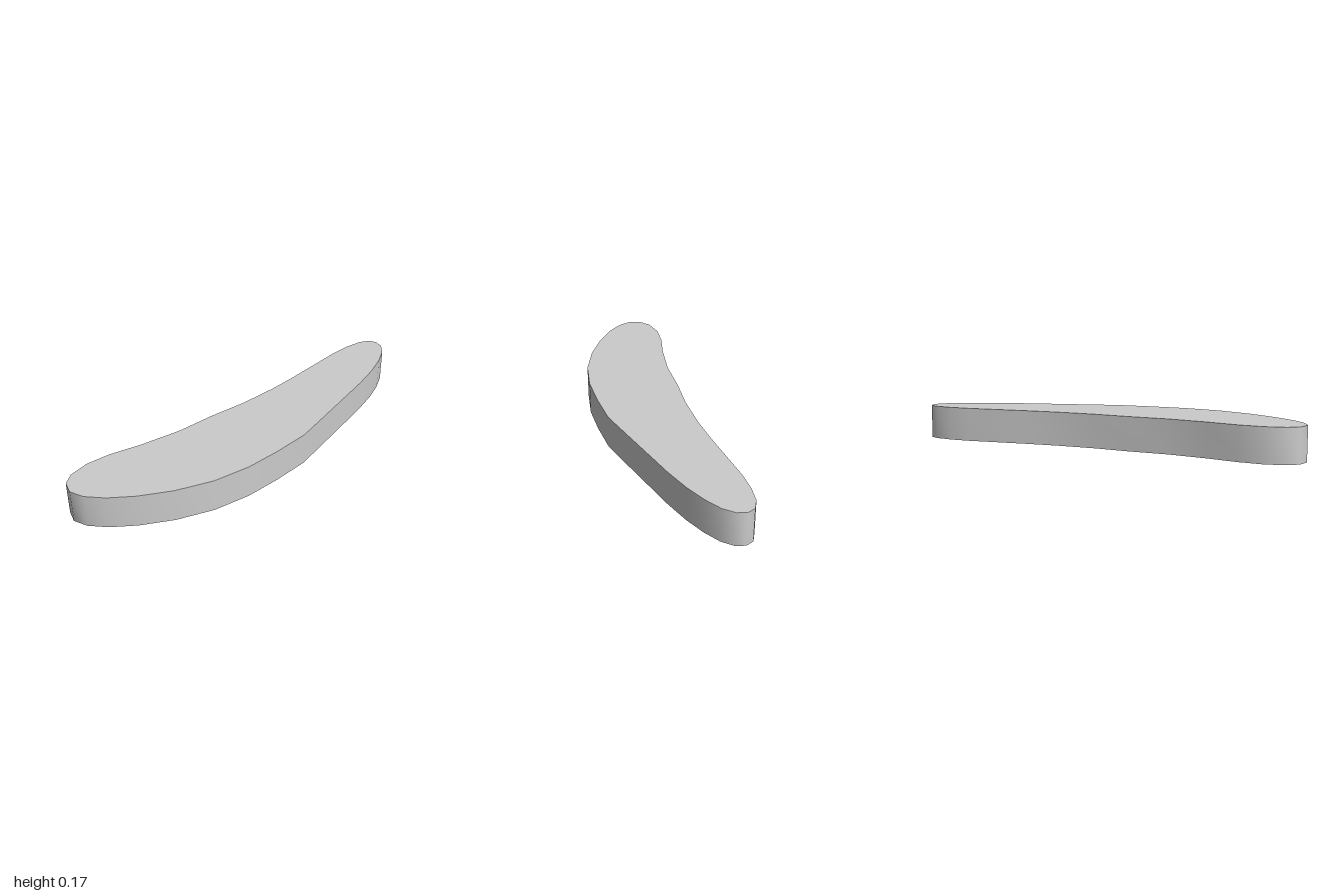
import * as THREE from 'three';
import { toCreasedNormals } from 'three/addons/utils/BufferGeometryUtils.js';

const HEIGHT = 0.17;

// Outline seen from above as [x, z], starting at the back tip
const OUTLINE = [
  // outer, bulging side
  [0.01, -1], [0.055, -0.985], [0.1, -0.935], [0.14, -0.85], [0.175, -0.74],
  [0.205, -0.6], [0.235, -0.41], [0.265, -0.22], [0.293, -0.04], [0.287, 0.15],
  [0.27, 0.33], [0.225, 0.51], [0.145, 0.68], [0.05, 0.82], [-0.04, 0.92],
  // rounded front tip
  [-0.12, 0.98], [-0.19, 1], [-0.25, 0.975], [-0.285, 0.92], [-0.296, 0.82],
  // inner, hollow side
  [-0.275, 0.7], [-0.225, 0.55], [-0.175, 0.35], [-0.15, 0.15], [-0.115, -0.04],
  [-0.095, -0.24], [-0.09, -0.4], [-0.09, -0.74], [-0.08, -0.85],
  [-0.06, -0.935], [-0.03, -0.985],
];

export function createModel() {
  const group = new THREE.Group();
  group.name = 'curvedSlab';

  // Flat curved slab: outline extruded upward, smooth sides, sharp rims
  const shape = new THREE.Shape(OUTLINE.map(([x, z]) => new THREE.Vector2(x, -z)));
  const extruded = new THREE.ExtrudeGeometry(shape, { depth: HEIGHT, bevelEnabled: false });
  extruded.rotateX(-Math.PI / 2);

  const slab = new THREE.Mesh(
    toCreasedNormals(extruded, 0.7),
    new THREE.MeshStandardMaterial({ color: 0xcccccc })
  );
  slab.name = 'slab';
  group.add(slab);
  return group;
}
